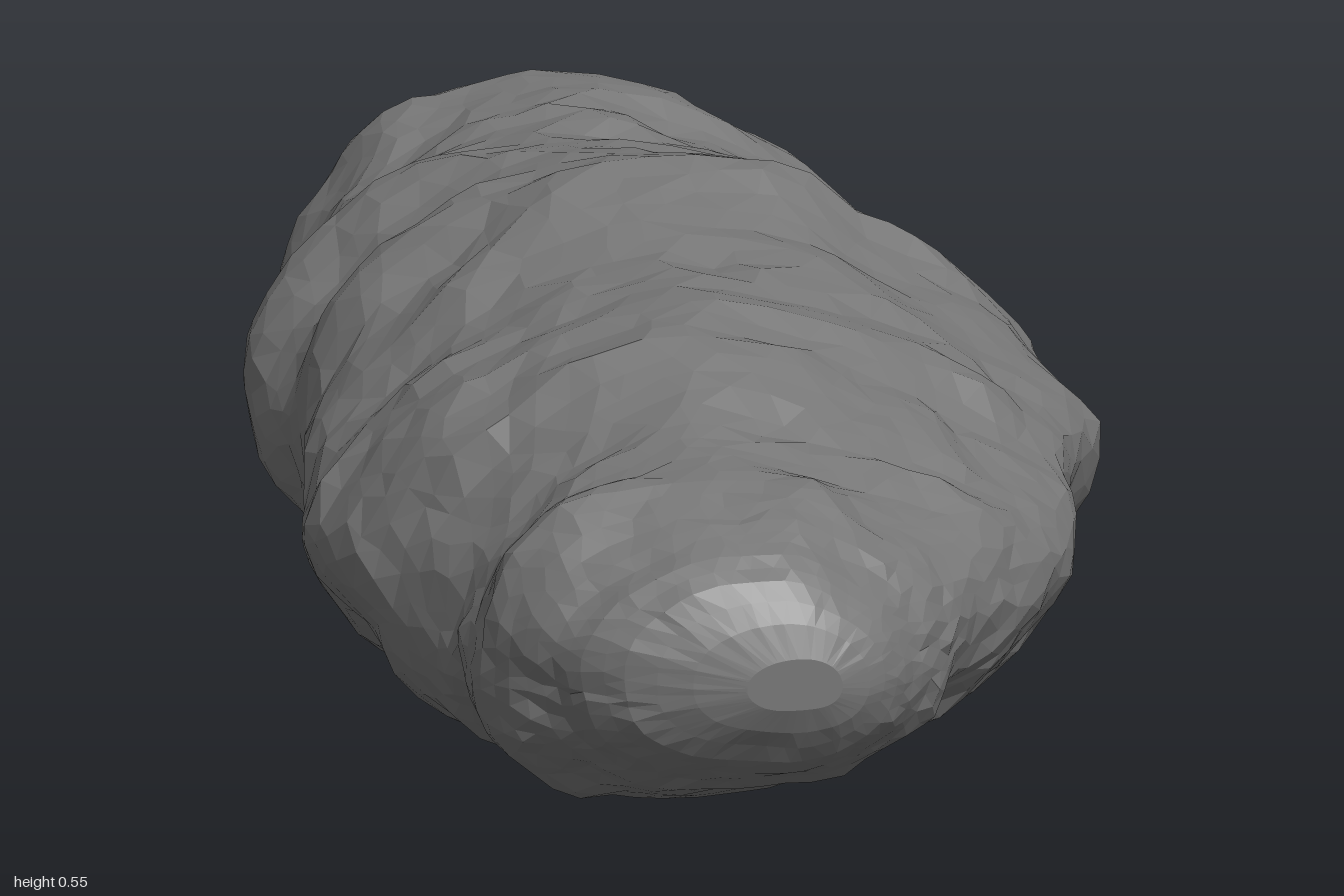
import * as THREE from 'three';

// Cross-section stations along the length: z, xMin, xMax, yMin, yMax
const STATIONS = [
  [-1.0, -0.03, 0.05, 0.23, 0.31], [-0.985, -0.07, 0.09, 0.16, 0.35],
  [-0.95, -0.11, 0.14, 0.1, 0.39], [-0.9, -0.17, 0.19, 0.065, 0.43],
  [-0.87, -0.24, 0.2, 0.06, 0.46], [-0.8, -0.31, 0.24, 0.05, 0.495],
  [-0.65, -0.33, 0.39, 0.05, 0.505], [-0.57, -0.35, 0.42, 0.045, 0.505],
  [-0.5, -0.415, 0.435, 0.03, 0.5], [-0.38, -0.42, 0.42, 0.025, 0.515],
  [-0.3, -0.405, 0.41, 0.025, 0.53], [-0.2, -0.405, 0.44, 0.02, 0.55],
  [-0.1, -0.42, 0.44, 0.015, 0.53], [0.04, -0.45, 0.47, 0, 0.505],
  [0.15, -0.475, 0.42, 0.02, 0.505], [0.28, -0.46, 0.38, 0.03, 0.51],
  [0.4, -0.42, 0.37, 0.02, 0.5], [0.5, -0.39, 0.345, 0.025, 0.47],
  [0.6, -0.385, 0.3, 0.04, 0.44], [0.75, -0.395, 0.19, 0.055, 0.43],
  [0.85, -0.35, 0.13, 0.09, 0.41], [0.92, -0.31, 0.08, 0.125, 0.385],
  [0.96, -0.26, 0.05, 0.15, 0.36], [0.985, -0.2, 0.02, 0.185, 0.325],
  [1.0, -0.13, -0.02, 0.22, 0.28],
];

// Hollows pressed into the surface: x, y, z, radius, depth
const PITS = [
  [0.3, 0.38, -0.55, 0.09, 0.035], [-0.41, 0.17, -0.03, 0.08, 0.03],
  [0.02, 0.3, 0.9, 0.08, 0.025], [-0.33, 0.38, -0.38, 0.1, 0.02],
  [0.25, 0.35, 0.4, 0.08, 0.02],
];

const AROUND = 48, ALONG = 66;

// Seeded lattice hash and smooth value noise in -1..1
function hash(i, j, k) {
  const s = Math.sin(i * 127.1 + j * 311.7 + k * 74.7 + 19.3) * 43758.5453;
  return (s - Math.floor(s)) * 2 - 1;
}
function noise(x, y, z) {
  const [i, j, k] = [x, y, z].map(Math.floor);
  const [u, v, w] = [x - i, y - j, z - k].map((t) => t * t * (3 - 2 * t));
  let sum = 0;
  for (let c = 0; c < 8; c++) {
    const a = c & 1, b = (c >> 1) & 1, d = c >> 2;
    sum += hash(i + a, j + b, k + d) * (a ? u : 1 - u) * (b ? v : 1 - v) * (d ? w : 1 - w);
  }
  return sum;
}

function sectionAt(z) {
  let i = 0;
  while (i < STATIONS.length - 2 && z > STATIONS[i + 1][0]) i++;
  const a = STATIONS[i], b = STATIONS[i + 1];
  const t = (z - a[0]) / (b[0] - a[0]);
  return a.map((v, n) => v + (b[n] - v) * t);
}

// Point on a section: a peaked dome above steep flanks and a full belly;
// the widest line sits higher on the left side than on the right
function surfacePoint(z, angle) {
  const [, x0, x1, y0, y1] = sectionAt(z);
  const c = Math.cos(angle), s = Math.sin(angle);
  const end = Math.min(1, Math.abs(z) ** 3 * 1.3);
  const dome = 1.53 - 0.09 * c;
  const p = s > 0 ? dome + (2.15 - dome) * end : 2.05 + 0.15 * end;
  const r = (Math.abs(c) ** p + Math.abs(s) ** p) ** (-1 / p);
  const mid = y0 + (y1 - y0) * 0.47 + 0.033 * (1 - end) * c * r;
  const lean = (s > 0 ? 0.03 : 0.05) * (1 - end) * s * s;
  const x = (x0 + x1) / 2 + ((x1 - x0) / 2) * c * r - lean;
  const y = mid + (s > 0 ? y1 - mid : mid - y0) * s * r;
  return new THREE.Vector3(x, y, z);
}

// Lumps, slanting ridges and pits push each point in or out
function weather(p, angle) {
  const out = new THREE.Vector3(Math.cos(angle), Math.sin(angle) * 1.3, 0).normalize();
  const fade = Math.min(1, (1 - Math.abs(p.z)) * 6);
  let d = 0.016 * noise(p.x * 8, p.y * 8, p.z * 8 + 3)
    + 0.01 * noise(p.x * 6 + 9, p.y * 6, (p.z + p.x * 0.4) * 11)
    + 0.009 * noise(p.x * 18, p.y * 18 + 5, p.z * 18);
  for (const [x, y, z, radius, depth] of PITS) {
    const q = p.distanceTo(new THREE.Vector3(x, y, z)) / radius;
    d -= depth * Math.exp(-q * q);
  }
  return p.addScaledVector(out, d * (0.3 + 0.7 * fade));
}

// One weathered ring, its points brought back inside the station's outline
function ringPoints(z, i) {
  const ring = [];
  for (let j = 0; j < AROUND; j++) {
    const angle = ((j + (i % 2) * 0.5 + 0.3 * hash(i, j, 7)) / AROUND) * Math.PI * 2;
    ring.push(weather(surfacePoint(z, angle), angle));
  }
  const [, x0, x1, y0, y1] = sectionAt(z);
  const { min, max } = new THREE.Box3().setFromPoints(ring);
  const fade = Math.min(1, (1 - Math.abs(z)) * 8);
  ring.forEach((p, j) => {
    p.x = THREE.MathUtils.mapLinear(p.x, min.x, max.x, x0, x1);
    p.y = THREE.MathUtils.mapLinear(p.y, min.y, max.y, y0, y1);
    p.z += fade * (0.006 * hash(i, j, 11) + 0.006 * noise(p.x * 10, p.y * 10, z * 10 + 40));
  });
  return ring;
}

function rockGeometry() {
  const pos = [], index = [];
  for (let i = 0; i <= ALONG; i++) {
    // Rings crowd towards the blunt ends
    const t = (i / ALONG) * 2 - 1;
    const z = 0.4 * t + 0.6 * Math.sin((t * Math.PI) / 2);
    for (const p of ringPoints(z, i)) pos.push(p.x, p.y, p.z);
  }
  for (let i = 0; i < ALONG; i++) {
    for (let j = 0; j < AROUND; j++) {
      const k = (j + 1) % AROUND;
      const a = i * AROUND + j, b = i * AROUND + k;
      const c = a + AROUND, d = b + AROUND;
      if (i % 2) index.push(a, d, c, a, b, d);
      else index.push(a, b, c, b, d, c);
    }
  }
  // Close both ends
  for (const [ring, z] of [[0, -1], [ALONG, 1]]) {
    const [, x0, x1, y0, y1] = sectionAt(z);
    const centre = pos.length / 3;
    pos.push((x0 + x1) / 2, (y0 + y1) / 2, z);
    for (let j = 0; j < AROUND; j++) {
      const a = ring * AROUND + j, b = ring * AROUND + ((j + 1) % AROUND);
      index.push(centre, ...(z > 0 ? [a, b] : [b, a]));
    }
  }
  const geo = new THREE.BufferGeometry();
  geo.setAttribute('position', new THREE.Float32BufferAttribute(pos, 3));
  geo.setIndex(index);
  geo.computeVertexNormals();
  return geo;
}

export function createModel() {
  const group = new THREE.Group();
  group.name = 'rock';
  const material = new THREE.MeshStandardMaterial({ color: 0x777777, flatShading: true });
  const rock = new THREE.Mesh(rockGeometry(), material);
  rock.name = 'boulder';
  group.add(rock);
  return group;
}
